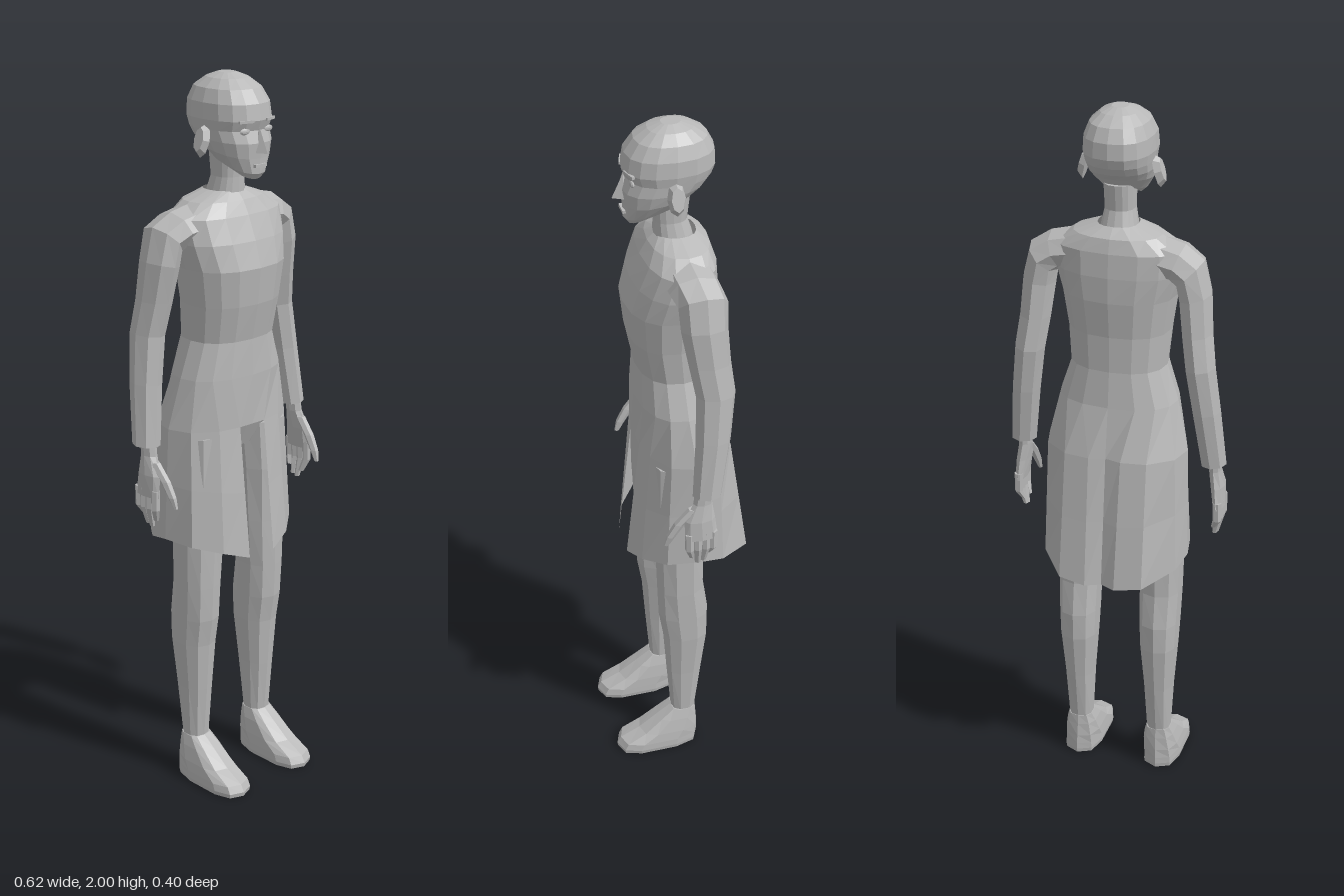
import * as THREE from 'three';

const grey = new THREE.MeshStandardMaterial({ color: 0xb8b8b8, flatShading: true, side: THREE.DoubleSide });
grey.name = 'plain grey';

// Skin a stack of point rings; wrap closes each ring, cap fills both ends
function loft(name, rings, { wrap = true, cap = true } = {}) {
  const n = rings[0].length, pos = rings.flat(2), idx = [];
  for (let r = 0; r < rings.length - 1; r++)
    for (let i = 0; i < (wrap ? n : n - 1); i++) {
      const a = r * n + i, b = r * n + (i + 1) % n;
      idx.push(a, b, b + n, a, b + n, a + n);
    }
  if (cap) for (const [r, flip] of [[0, true], [rings.length - 1, false]]) {
    const c = [0, 1, 2].map(k => rings[r].reduce((s, p) => s + p[k], 0) / n);
    const ci = pos.length / 3;
    pos.push(...c);
    for (let i = 0; i < n; i++) {
      const a = r * n + i, b = r * n + (i + 1) % n;
      idx.push(ci, ...(flip ? [b, a] : [a, b]));
    }
  }
  // Turn faces outward when the rings run the other way
  const P = i => new THREE.Vector3().fromArray(pos, i * 3);
  let vol = 0;
  for (let i = 0; i < idx.length; i += 3) vol += P(idx[i]).dot(P(idx[i + 1]).cross(P(idx[i + 2])));
  if (vol < 0) idx.reverse();
  let g = new THREE.BufferGeometry();
  g.setAttribute('position', new THREE.Float32BufferAttribute(pos, 3));
  g.setIndex(idx);
  g = g.toNonIndexed();
  g.computeVertexNormals();
  return named(name, g);
}

function named(name, geometry) {
  const m = new THREE.Mesh(geometry, grey);
  m.name = name;
  return m;
}

// Level ring from front round to back: height, half width, front z, back z
function ring(y, w, zf, zb, { cx = 0, n = 16, p = 0.85, tilt = 0, mid = 0.5 } = {}) {
  const zc = zb + (zf - zb) * mid, pw = v => Math.sign(v) * Math.abs(v) ** p;
  return Array.from({ length: n }, (_, i) => {
    const a = i / n * Math.PI * 2, c = pw(Math.cos(a));
    const z = zc + c * (c > 0 ? zf - zc : zc - zb);
    return [cx + w * pw(Math.sin(a)), y + tilt * (zf - z) / (zf - zb), z];
  });
}

// Limb ring about a centre, tipped about the z axis by t degrees
function limbRing(s, [x, y, z, rx, rz, t = 0], n = 8) {
  const k = t * Math.PI / 180;
  return Array.from({ length: n }, (_, i) => {
    const a = i / n * Math.PI * 2, u = Math.cos(a) * rx;
    return [s * (x + u * Math.cos(k)), y + u * Math.sin(k), z + Math.sin(a) * rz];
  });
}
const limb = (name, s, rows, n) => loft(name, rows.map(r => limbRing(s, r, n)));

function makeHead() {
  const head = new THREE.Group();
  head.name = 'head';
  head.add(loft('skull', [
    [1.735, .032, .112, .03, .03], [1.75, .052, .124, -.03, .04], [1.79, .076, .125, -.06, .03],
    [1.83, .086, .128, -.085, .01], [1.862, .089, .117, -.102, 0], [1.888, .093, .127, -.112, 0],
    [1.93, .09, .12, -.11, 0], [1.965, .076, .095, -.092, 0], [1.988, .05, .06, -.058, 0], [2, .022, .025, -.025, 0],
  ].map(([y, w, f, b, tilt]) => ring(y, w, f, b, { tilt }))));
  head.add(loft('neck', [
    ring(1.62, .06, .05, -.07), ring(1.69, .048, .045, -.055),
    ring(1.73, .04, .045, -.042), ring(1.8, .042, .05, -.05),
  ]));
  const nose = named('nose', new THREE.ConeGeometry(1, .065, 4));
  nose.scale.set(.016, 1, .03);
  nose.position.set(0, 1.838, .122);
  const mouth = named('mouth', new THREE.BoxGeometry(.04, .008, .009));
  mouth.position.set(0, 1.772, .125);
  head.add(nose, mouth);
  for (const s of [1, -1]) {
    const eye = named('eye', new THREE.SphereGeometry(1, 8, 6));
    eye.scale.set(.018, .009, .006);
    eye.position.set(s * .04, 1.862, .11);
    const brow = named('brow', new THREE.BoxGeometry(.042, .007, .008));
    brow.position.set(s * .042, 1.888, .117);
    brow.rotation.y = s * .3;
    const ear = named('ear', new THREE.CylinderGeometry(.7, 1, 1, 8));
    ear.scale.set(.045, .018, .024);
    ear.rotation.z = -s * 1.3;
    ear.position.set(s * .102, 1.835, .01);
    head.add(eye, brow, ear);
  }
  return head;
}

function makeCoat() {
  const coat = new THREE.Group();
  coat.name = 'coat';
  // Half outlines of the skirt, from the front split to the centre back
  const top = [[.045, 1.06, .1], [.11, 1.06, .088], [.175, 1.06, .045], [.198, 1.06, -.02],
    [.18, 1.06, -.088], [.115, 1.06, -.138], [.045, 1.06, -.148], [0, 1.06, -.136]];
  const hem = [[.045, .69, .14], [.12, .715, .115], [.187, .735, .06], [.205, .74, -.03],
    [.19, .725, -.1], [.118, .7, -.19], [.042, .69, -.2], [0, .69, -.18]];
  const flip = p => [-p[0], p[1], p[2]];
  const waist = [[0, 1.06, .1], ...top, ...top.slice(0, -1).reverse().map(flip)];
  coat.add(loft('bodice', [waist, ...[
    [1.2, .165, .103, -.114], [1.3, .132, .1, -.102], [1.4, .14, .12, -.102],
    [1.5, .155, .13, -.112], [1.57, .172, .11, -.112], [1.635, .175, .083, -.106],
    [1.672, .12, .062, -.095], [1.695, .055, .04, -.065],
  ].map(r => ring(...r))], { cap: false }));
  const middle = top.map((p, i) => p.map((v, k) => (v + hem[i][k]) / 2));
  const full = h => [...h, ...h.slice(0, -1).reverse().map(flip)];
  coat.add(loft('splitSkirt', [hem, middle, top].map(full), { wrap: false, cap: false }));
  return coat;
}

function makeArm(s) {
  const arm = new THREE.Group();
  arm.name = s > 0 ? 'leftArm' : 'rightArm';
  arm.add(limb('sleeve', s, [
    [.11, 1.615, -.015, .055, .07, 85], [.165, 1.605, -.02, .052, .068, 70], [.2, 1.583, -.03, .052, .065, 45],
    [.214, 1.52, -.03, .046, .062, 12], [.224, 1.42, -.042, .043, .056, 5], [.237, 1.33, -.055, .042, .053, 5],
    [.254, 1.2, -.045, .04, .048, 4], [.272, 1.035, -.025, .036, .04, 3],
  ]));
  arm.add(limb('palm', s, [
    [.273, 1.06, -.018, .018, .025], [.274, 1.01, -.012, .018, .026],
    [.281, .96, -.003, .019, .042], [.287, .9, -.006, .015, .046],
  ]));
  // Four fingers, the middle ones longest
  [[.027, .83], [.004, .81], [-.018, .815], [-.038, .84]].forEach(([z, tip]) =>
    arm.add(limb('finger', s, [
      [.287, .92, z, .013, .013], [.288, .865, z, .012, .012], [.277, tip, z * .7 - .002, .007, .008],
    ], 6)));
  arm.add(limb('thumb', s, [
    [.275, .995, .012, .013, .016], [.272, .95, .05, .013, .016],
    [.27, .91, .074, .011, .013], [.268, .88, .086, .006, .007],
  ], 6));
  return arm;
}

function makeLeg(s) {
  const leg = new THREE.Group();
  leg.name = s > 0 ? 'leftLeg' : 'rightLeg';
  const rows = (name, list, o) => loft(name, list.map(([x, ...r]) => ring(...r, { cx: s * x, n: 10, ...o })));
  leg.add(rows('shin', [
    [.105, 1.04, .075, .085, -.1], [.11, .9, .07, .085, -.08], [.116, .74, .066, .076, -.062],
    [.12, .6, .059, .072, -.062], [.12, .5, .056, .068, -.076], [.12, .42, .053, .055, -.075],
    [.12, .28, .042, .045, -.058], [.12, .12, .034, .032, -.038],
  ]));
  leg.add(rows('foot', [
    [.12, .13, .036, .034, -.04], [.12, .1, .045, .075, -.043], [.121, .06, .053, .13, -.046],
    [.122, .032, .056, .188, -.047], [.122, .012, .057, .199, -.047], [.122, 0, .055, .197, -.045],
  ], { p: .7, mid: .55 }));
  return leg;
}

export function createModel() {
  const model = new THREE.Group();
  model.name = 'standingFigure';
  model.add(makeHead(), makeCoat());
  model.add(loft('hips', [ring(1.14, .14, .08, -.1), ring(1.05, .15, .08, -.11), ring(.985, .09, .05, -.08)]));
  for (const s of [1, -1]) model.add(makeArm(s), makeLeg(s));
  return model;
}
